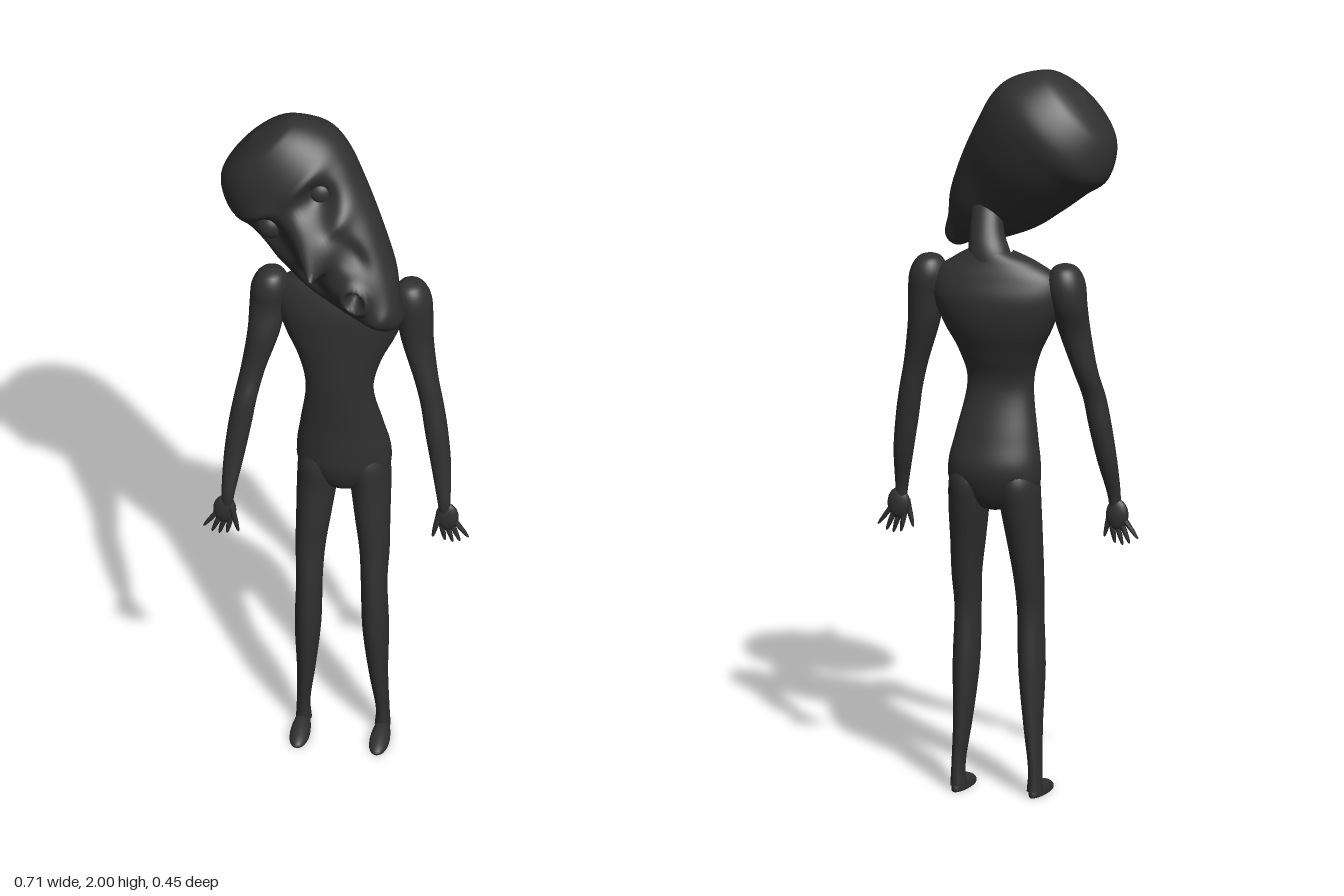
import * as THREE from 'three';

const skin = new THREE.MeshStandardMaterial({ color: 0x303030 });
skin.name = 'charcoal skin';

// Smooth skin over elliptical sections [y, centreX, centreZ, radiusX, radiusZ], listed upwards
function loft(name, rows, steps = 40, ring = 28, sculpt) {
  const curve = (pick) => new THREE.CatmullRomCurve3(rows.map(pick), false, 'catmullrom');
  const centres = curve((r) => new THREE.Vector3(r[1], r[0], r[2]));
  const radii = curve((r) => new THREE.Vector3(r[3], r[4], 0));
  const pos = [], idx = [];
  for (let i = 0; i <= steps; i++) {
    const c = centres.getPoint(i / steps), r = radii.getPoint(i / steps);
    for (let j = 0; j < ring; j++) {
      const t = (j / ring) * Math.PI * 2;
      const p = new THREE.Vector3(
        c.x + Math.max(0, r.x) * Math.cos(t), c.y, c.z + Math.max(0, r.y) * Math.sin(t));
      if (sculpt) p.z += sculpt(p.x, p.y, Math.sin(t));
      pos.push(p.x, p.y, p.z);
      if (i < steps) {
        const a = i * ring + j, c2 = i * ring + ((j + 1) % ring);
        idx.push(a, a + ring, c2, a + ring, c2 + ring, c2);
      }
    }
  }
  const geo = new THREE.BufferGeometry();
  geo.setAttribute('position', new THREE.Float32BufferAttribute(pos, 3));
  geo.setIndex(idx);
  geo.computeVertexNormals();
  const mesh = new THREE.Mesh(geo, skin);
  mesh.name = name;
  return mesh;
}

const bump = (dx, dy, wx, wy, power = 1) =>
  Math.exp(-Math.pow((dx / wx) ** 2 + (dy / wy) ** 2, power));

// Relief of the face: nose, sockets, brows, cheeks, lips and chin
function faceRelief(x, y, facing) {
  if (facing <= 0) return 0;
  const side = Math.abs(x);
  const mouth = Math.hypot(x * 1.1, y + 0.26);
  const nose = 0.128 * bump(x, y + 0.106, 0.03, y > -0.106 ? 0.06 : 0.028, 0.75);
  const sockets = -0.05 * bump(side - 0.092, y, 0.045, 0.045);
  const brows = 0.016 * bump(side - 0.085, y - 0.062, 0.06, 0.022);
  const cheeks = 0.012 * bump(side - 0.1, y + 0.075, 0.04, 0.025)
    - 0.022 * bump(side - 0.075, y + 0.17, 0.028, 0.06);
  const lips = 0.018 * Math.exp(-(((mouth - 0.034) / 0.013) ** 2))
    - 0.035 * Math.exp(-((mouth / 0.021) ** 2));
  const chin = 0.01 * bump(x, y + 0.35, 0.04, 0.025);
  return Math.min(1, facing * 2) * (nose + sockets + brows + cheeks + lips + chin);
}

function makeHead() {
  const head = new THREE.Group();
  head.name = 'head';
  head.add(loft('skull and face', [
    [-0.415, 0.005, 0.06, 0, 0],
    [-0.405, 0.005, 0.065, 0.028, 0.04],
    [-0.36, 0.008, 0.068, 0.054, 0.07],
    [-0.29, 0.008, 0.035, 0.097, 0.1],
    [-0.185, 0.008, 0, 0.14, 0.12],
    [-0.076, 0.014, -0.045, 0.166, 0.135],
    [0.018, 0.019, -0.075, 0.184, 0.14],
    [0.09, 0.012, -0.088, 0.188, 0.138],
    [0.163, 0.012, -0.085, 0.15, 0.105],
    [0.195, 0.02, -0.08, 0.1, 0.07],
    [0.215, 0.03, -0.08, 0, 0],
  ], 120, 112, faceRelief));
  for (const s of [-1, 1]) {
    const eye = new THREE.Mesh(new THREE.SphereGeometry(0.042, 28, 20), skin);
    eye.name = s > 0 ? 'leftEye' : 'rightEye';
    eye.position.set(s * 0.092, 0, -0.016);
    head.add(eye);
  }
  // The head hangs over towards the left shoulder
  head.position.set(-0.1, 1.77, 0);
  head.rotation.z = 0.761;
  return head;
}

// Arm hanging from the shoulder; elbowZ and wristZ set how far it swings forward
function makeArm(s, elbowZ, wristZ) {
  const arm = new THREE.Group();
  arm.name = s > 0 ? 'leftArm' : 'rightArm';
  const X = (x) => 0.007 + s * (x - 0.005);
  const mid = (a, b) => (a + b) / 2;
  arm.add(loft('limb', [
    [0.77, 0.293, wristZ, 0.014, 0.012],
    [0.82, 0.291, wristZ, 0.018, 0.017],
    [0.92, 0.28, mid(elbowZ, wristZ), 0.027, 0.026],
    [1.02, 0.266, elbowZ + 0.01, 0.031, 0.031],
    [1.1, 0.253, elbowZ, 0.031, 0.032],
    [1.18, 0.236, mid(elbowZ, -0.11) + 0.005, 0.033, 0.035],
    [1.29, 0.211, mid(elbowZ, -0.115) - 0.008, 0.043, 0.043],
    [1.37, 0.203, -0.113, 0.049, 0.05],
    [1.43, 0.196, -0.115, 0.051, 0.053],
    [1.47, 0.193, -0.115, 0.033, 0.036],
    [1.483, 0.192, -0.115, 0, 0],
  ].map(([y, x, ...rest]) => [y, X(x), ...rest]), 50));

  // Palm, four spread fingers and a thumb
  const palm = new THREE.Mesh(new THREE.SphereGeometry(1, 24, 16), skin);
  palm.name = 'palm';
  palm.scale.set(0.031, 0.043, 0.016);
  palm.position.set(X(0.3), 0.763, wristZ);
  arm.add(palm);
  const digits = [[0.357, 0.7], [0.334, 0.685], [0.315, 0.68], [0.294, 0.684], [0.262, 0.697]];
  digits.forEach(([tip, y], i) => {
    const root = i < 4 ? 0.321 - i * 0.013 : 0.28, top = i < 4 ? 0.75 : 0.775;
    const z = wristZ + (i === 4 ? 0.008 : 0);
    const at = (f, r) => [y + (top - y) * f, X(tip + (root - tip) * f), z, r, r];
    arm.add(loft(i < 4 ? 'finger' : 'thumb',
      [at(0, 0), at(0.08, 0.004), at(0.4, 0.007), at(0.7, 0.008), at(1, 0.009)], 14, 12));
  });
  return arm;
}

function makeLeg(s) {
  const leg = new THREE.Group();
  leg.name = s > 0 ? 'leftLeg' : 'rightLeg';
  const X = (x) => 0.014 + s * (x - 0.014);
  leg.add(loft('limb', [
    [0.015, 0.12, -0.1, 0.021, 0.028],
    [0.08, 0.12, -0.097, 0.018, 0.03],
    [0.2, 0.111, -0.086, 0.025, 0.042],
    [0.35, 0.105, -0.076, 0.035, 0.052],
    [0.5, 0.101, -0.074, 0.035, 0.048],
    [0.6, 0.1, -0.088, 0.04, 0.051],
    [0.7, 0.093, -0.1, 0.047, 0.058],
    [0.8, 0.086, -0.115, 0.054, 0.066],
    [0.88, 0.08, -0.12, 0.055, 0.07],
    [0.95, 0.075, -0.115, 0.03, 0.04],
  ].map(([y, x, ...rest]) => [y, X(x), ...rest]), 48));

  // Flat-soled foot, low at the toes and rising to the heel
  const geo = new THREE.SphereGeometry(1, 28, 20);
  const p = geo.attributes.position;
  for (let i = 0; i < p.count; i++) {
    const z = p.getZ(i);
    p.setXYZ(i, p.getX(i) * (0.026 + 0.005 * z), Math.max(0, p.getY(i) + 0.15) * (0.03 - 0.01 * z), z * 0.078);
  }
  geo.computeVertexNormals();
  const foot = new THREE.Mesh(geo, skin);
  foot.name = 'foot';
  foot.position.set(X(0.121), 0, -0.053);
  leg.add(foot);
  return leg;
}

export function createModel() {
  const figure = new THREE.Group();
  figure.name = 'figure';
  figure.add(loft('torso', [
    [0.785, 0.014, -0.115, 0, 0],
    [0.805, 0.014, -0.115, 0.06, 0.045],
    [0.86, 0.014, -0.118, 0.12, 0.072],
    [0.92, 0.013, -0.121, 0.126, 0.08],
    [1.0, 0.01, -0.11, 0.112, 0.068],
    [1.13, 0.006, -0.088, 0.091, 0.053],
    [1.22, 0.005, -0.1, 0.111, 0.066],
    [1.3, 0.005, -0.115, 0.15, 0.08],
    [1.38, 0.006, -0.122, 0.178, 0.083],
    [1.44, 0.007, -0.121, 0.17, 0.066],
    [1.48, 0.012, -0.12, 0.115, 0.05],
    [1.505, 0.025, -0.118, 0.06, 0.042],
  ], 70, 48));
  figure.add(loft('neck', [
    [1.42, 0.018, -0.125, 0.07, 0.05],
    [1.5, 0.028, -0.12, 0.057, 0.045],
    [1.56, 0.042, -0.098, 0.046, 0.04],
    [1.66, 0.05, -0.05, 0.04, 0.035],
  ], 20));
  figure.add(makeHead());
  figure.add(makeArm(1, -0.088, -0.045), makeArm(-1, -0.045, 0.01));
  figure.add(makeLeg(1), makeLeg(-1));
  return figure;
}
